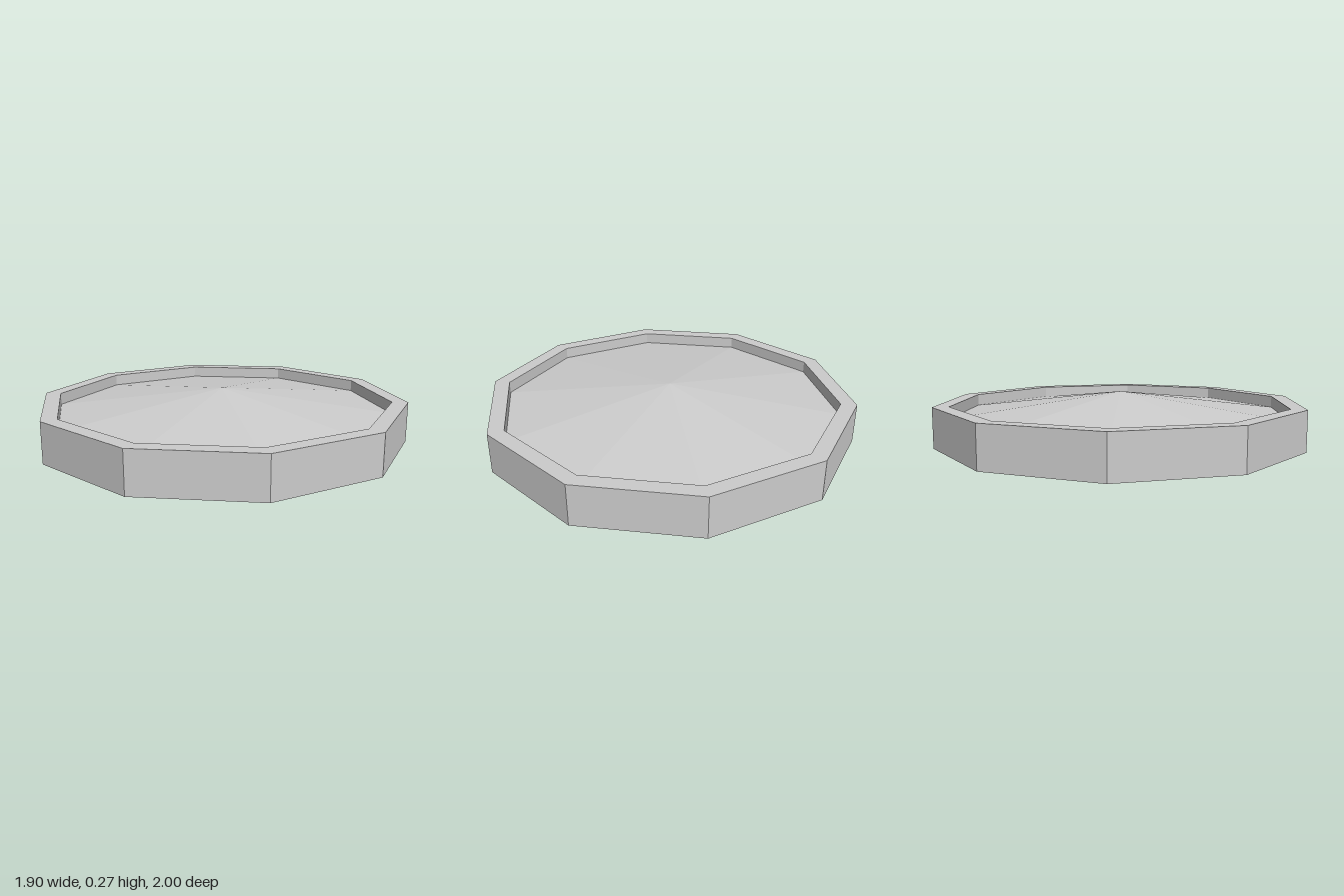
import * as THREE from 'three';

const SIDES = 10;
const OUTER = 1, INNER = 0.915;          // corner radii of the rim
const TOP = 0.216, EDGE = 0.153, APEX = 0.272; // heights

export function createModel() {
  const group = new THREE.Group();
  group.name = 'decagonalDish';

  const grey = new THREE.MeshStandardMaterial({ color: 0xcccccc });
  grey.name = 'lightGrey';
  grey.flatShading = true;
  grey.side = THREE.DoubleSide; // open shell, hollow underneath

  const add = (name, geometry) => {
    const mesh = new THREE.Mesh(geometry, grey);
    mesh.name = name;
    group.add(mesh);
    return mesh;
  };

  // One faceted band between two (radius, height) points
  const band = (name, r0, y0, r1, y1) =>
    add(name, new THREE.LatheGeometry(
      [new THREE.Vector2(r0, y0), new THREE.Vector2(r1, y1)], SIDES));

  band('outerWall', OUTER, 0, OUTER, TOP);
  band('rimTop', OUTER, TOP, INNER, TOP);
  band('innerWall', INNER, TOP, INNER, EDGE);

  // Shallow cone recessed inside the rim, its tip rising above it
  const roof = add('centreCone',
    new THREE.ConeGeometry(INNER, APEX - EDGE, SIDES, 1, true));
  roof.position.y = (APEX + EDGE) / 2;

  return group;
}
